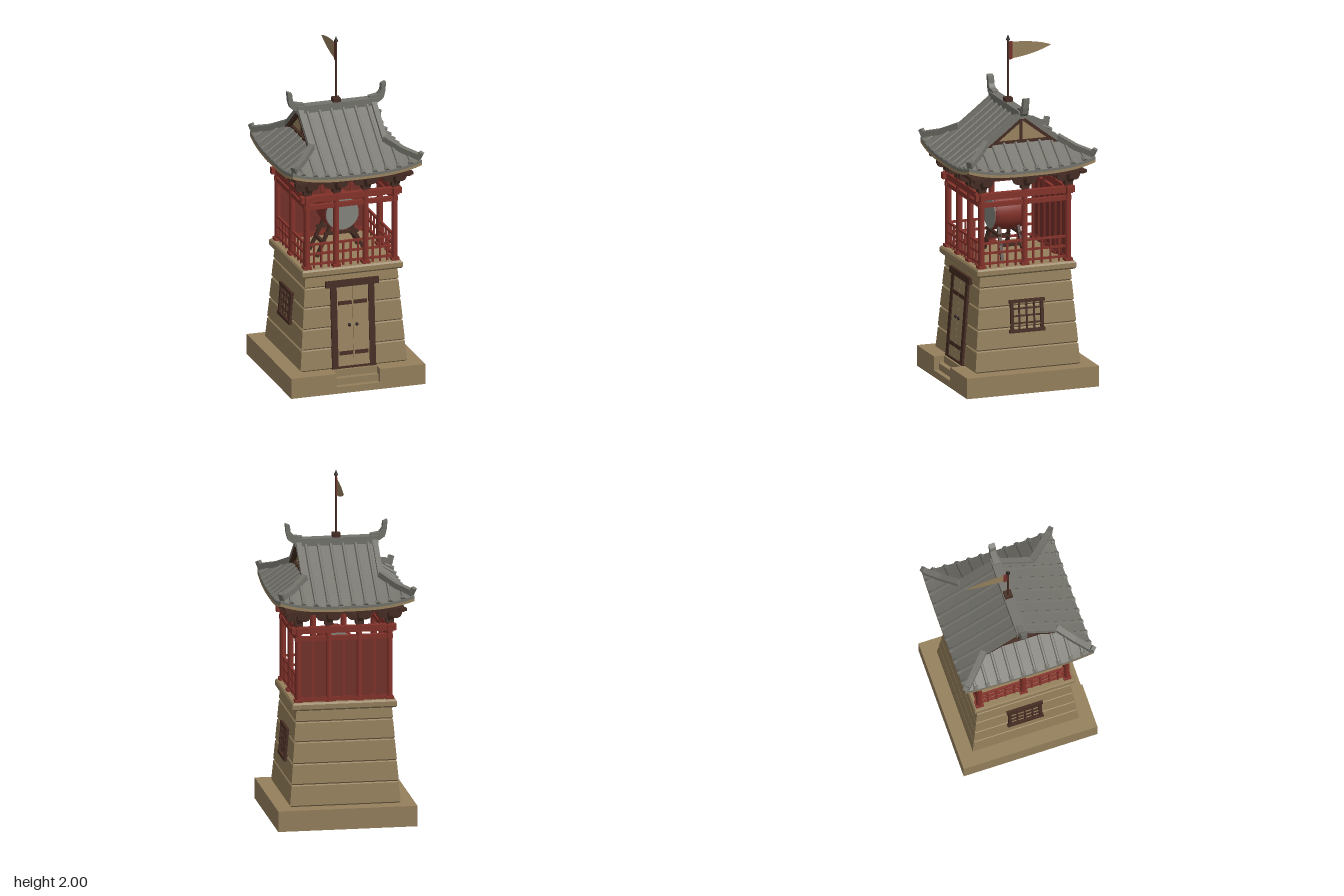
import * as THREE from 'three';

const mat = (name, color, side = THREE.FrontSide) => {
  const m = new THREE.MeshStandardMaterial({ color, side });
  m.name = name;
  return m;
};

export function createModel() {
  const stone = mat('stone', 0x95805c), plank = mat('pale timber', 0x9a8460);
  const tile = mat('roof tile', 0x74736c), red = mat('red lacquer', 0x84322a);
  const panelRed = mat('dark red panel', 0x74302a), dark = mat('dark timber', 0x452c22);
  const skin = mat('drum skin', 0x85857f), cloth = mat('flag cloth', 0x95805c, THREE.DoubleSide);
  const iron = mat('iron', 0x2c2320);

  const root = new THREE.Group();
  root.name = 'drumTower';
  const group = (name, parent = root) => {
    const g = new THREE.Group();
    g.name = name;
    parent.add(g);
    return g;
  };
  const add = (p, name, geo, m, x = 0, y = 0, z = 0) => {
    const mesh = new THREE.Mesh(geo, m);
    mesh.name = name;
    mesh.position.set(x, y, z);
    p.add(mesh);
    return mesh;
  };
  const box = (p, name, m, w, h, d, x, y, z) => add(p, name, new THREE.BoxGeometry(w, h, d), m, x, y, z);
  const cyl = (p, name, m, r0, r1, h, n, x, y, z) => add(p, name, new THREE.CylinderGeometry(r1, r0, h, n), m, x, y, z);
  // Box running from point a to point b
  const bar = (p, name, m, a, b, w, h) => {
    const A = new THREE.Vector3(...a), B = new THREE.Vector3(...b);
    const mesh = box(p, name, m, w, h, A.distanceTo(B), 0, 0, 0);
    mesh.quaternion.setFromRotationMatrix(new THREE.Matrix4().lookAt(B, A, new THREE.Vector3(0, 1, 0)));
    mesh.position.copy(A.add(B).multiplyScalar(0.5));
    return mesh;
  };
  const shape = pts => new THREE.Shape(pts.map(q => new THREE.Vector2(...q)));
  const extrude = (pts, depth) => new THREE.ExtrudeGeometry(shape(pts), { depth, bevelEnabled: false });
  const flat = geo => {
    const g = geo.toNonIndexed();
    g.computeVertexNormals();
    return g;
  };
  // Square-plan lathe from [half width, y] points
  const squareLathe = pts => flat(new THREE.LatheGeometry(
    pts.map(([r, y]) => new THREE.Vector2(r * Math.SQRT2, y)), 4, Math.PI / 4));
  // Grid surface from a function of u, v in 0..1
  const patch = (fn, nu, nv, flip = false) => {
    const pos = [], idx = [];
    for (let j = 0; j <= nv; j++) for (let i = 0; i <= nu; i++) pos.push(...fn(i / nu, j / nv));
    for (let j = 0; j < nv; j++) for (let i = 0; i < nu; i++) {
      const a = j * (nu + 1) + i, b = a + 1, c = a + nu + 1, d = c + 1;
      idx.push(...(flip ? [a, b, c, b, d, c] : [a, c, b, b, c, d]));
    }
    const g = new THREE.BufferGeometry();
    g.setAttribute('position', new THREE.Float32BufferAttribute(pos, 3));
    g.setIndex(idx);
    g.computeVertexNormals();
    return g;
  };

  // Plinth in three layers, with steps cut into the front
  const plinth = group('plinth');
  [0.4, 0.37, 0.34].forEach((z, i) => {
    const notch = i ? [[-0.13, -0.4], [-0.13, -z], [0.13, -z], [0.13, -0.4]] : [];
    const layer = extrude([[-0.4, -0.4], ...notch, [0.4, -0.4], [0.4, 0.4], [-0.4, 0.4]], 0.04);
    add(plinth, 'plinthLayer', layer.rotateX(-Math.PI / 2), stone, 0, i * 0.04, 0);
  });

  // Tapered stone body with grooved courses, and a cornice
  const half = y => 0.318 - (y - 0.12) * 0.078;
  const courses = [0.12, 0.245, 0.365, 0.49, 0.605, 0.675], profile = [];
  for (let i = 0; i < 5; i++) {
    const a = courses[i], b = courses[i + 1];
    profile.push([half(a) - 0.008, a], [half(a), a + 0.008], [half(b), b - 0.006], [half(b) - 0.008, b]);
  }
  add(root, 'stoneBody', squareLathe(profile), stone);
  add(root, 'cornice', squareLathe([[0.26, 0.672], [0.292, 0.674], [0.3, 0.684], [0.3, 0.71], [0.292, 0.72], [0, 0.72]]), stone);

  // Door, leaning with the wall
  const door = group('door');
  door.position.set(0, 0.12, 0.318);
  door.rotation.x = -0.078;
  box(door, 'threshold', dark, 0.26, 0.012, 0.03, 0, 0.008, 0);
  box(door, 'lintel', dark, 0.316, 0.038, 0.034, 0, 0.5, 0);
  for (const s of [-1, 1]) {
    box(door, 'jamb', dark, 0.036, 0.485, 0.026, s * 0.112, 0.243, 0);
    box(door, 'doorLeaf', plank, 0.093, 0.47, 0.014, s * 0.0475, 0.245, 0);
    for (const y of [0.09, 0.385]) box(door, 'hingeStrap', dark, 0.08, 0.022, 0.006, s * 0.046, y, 0.009);
    add(door, 'doorKnob', new THREE.SphereGeometry(0.01, 10, 8), iron, s * 0.022, 0.253, 0.01);
  }

  // Lattice windows on both sides
  for (const s of [-1, 1]) {
    const win = group(s > 0 ? 'leftWindow' : 'rightWindow');
    win.position.set(s * half(0.43), 0.43, 0);
    win.rotation.order = 'YXZ';
    win.rotation.set(-0.078, s * Math.PI / 2, 0);
    for (const t of [-1, 1]) {
      box(win, 'windowSide', dark, 0.018, 0.18, 0.022, t * 0.091, 0, 0.004);
      box(win, 'windowRail', dark, 0.215, 0.018, 0.026, 0, t * 0.086, 0.004);
    }
    for (const k of [-1, 0, 1]) {
      box(win, 'latticeUpright', dark, 0.009, 0.17, 0.012, k * 0.045, 0, 0.002);
      box(win, 'latticeRail', dark, 0.18, 0.009, 0.012, 0, k * 0.042, 0.002);
    }
  }

  // Pavilion: four sides of posts, beams, railings and brackets
  const E = 0.262;
  const armShape = [[-0.045, 0], [0.045, 0], [0.06, 0.006], [0.07, 0.024], [0.07, 0.034], [-0.07, 0.034], [-0.07, 0.024], [-0.06, 0.006]];
  const arm = extrude(armShape, 0.024).translate(0, 0, -0.012);
  ['front', 'left', 'back', 'right'].forEach((side, i) => {
    const g = group(side + 'Side');
    g.rotation.y = i * Math.PI / 2;
    const inner = i % 2 ? [0] : [-0.088, 0.088];
    for (const x of [...inner, -E]) {
      cyl(g, 'post', red, 0.018, 0.018, 0.46, 12, x, 0.95, E);
      box(g, 'postFoot', red, 0.046, 0.016, 0.046, x, 0.728, E);
      box(g, 'bracketBase', dark, 0.046, 0.026, 0.046, x, 1.18, E);
      for (const turn of [0, Math.PI / 2]) {
        const a = add(g, 'bracketArm', arm, dark, x, 1.19, E);
        a.rotation.y = turn;
      }
      for (const [dx, dz] of [[-0.055, 0], [0.055, 0], [0, 0.055], [0, -0.055], [0, 0]])
        box(g, 'bracketBlock', dark, 0.03, 0.022, 0.03, x + dx, 1.234, E + dz);
    }
    box(g, 'upperBeam', red, 0.6, 0.036, 0.034, 0, 1.138, E);
    box(g, 'lowerBeam', red, 0.56, 0.026, 0.024, 0, 1.088, E);
    box(g, 'eavePurlin', dark, 0.7, 0.016, 0.03, 0, 1.252, 0.32);
    const stops = [-E, ...inner, E];
    for (let k = 0; k + 1 < stops.length; k++) {
      const a = stops[k], b = stops[k + 1], c = (a + b) / 2, w = b - a;
      if (i === 2) {
        // Closed back wall
        box(g, 'wallPanel', panelRed, w, 0.36, 0.014, c, 0.9, E);
        box(g, 'panelBatten', red, 0.012, 0.36, 0.024, c, 0.9, E);
        box(g, 'panelSill', red, w, 0.024, 0.026, c, 0.735, E);
        continue;
      }
      for (const y of [0.745, 0.805, 0.862]) box(g, 'handrail', red, w, 0.012, 0.014, c, y, E);
      const n = i % 2 ? 5 : 4;
      for (let j = 1; j < n; j++) box(g, 'baluster', red, 0.01, 0.145, 0.01, a + w * j / n, 0.792, E);
    }
  });
  box(root, 'ceiling', dark, 0.68, 0.012, 0.68, 0, 1.258, 0);

  // Drum on a trestle
  const drum = group('drum');
  drum.position.set(0, 0.975, 0.022);
  drum.rotation.x = Math.PI / 2;
  const barrel = [[0.098, -0.09], [0.106, -0.045], [0.108, 0], [0.106, 0.045], [0.098, 0.09]];
  add(drum, 'drumBarrel', new THREE.LatheGeometry(barrel.map(q => new THREE.Vector2(...q)), 28), red);
  for (const s of [-1, 1]) {
    cyl(drum, 'drumSkin', skin, 0.097, 0.097, 0.008, 28, 0, s * 0.09, 0);
    cyl(drum, 'drumHoop', panelRed, 0.103, 0.103, 0.016, 28, 0, s * 0.076, 0);
  }
  const stand = group('drumStand');
  for (const z of [-0.045, 0.09]) {
    for (const s of [-1, 1]) bar(stand, 'standLeg', dark, [s * 0.145, 0.72, z], [s * 0.06, 0.9, z - Math.sign(z) * 0.01], 0.018, 0.018);
    box(stand, 'standCrossbar', dark, 0.2, 0.016, 0.018, 0, 0.855, z);
  }
  for (const s of [-1, 1]) box(stand, 'standRail', dark, 0.018, 0.018, 0.15, s * 0.105, 0.8, 0.022);

  // Hip-and-gable roof; d is the distance from the ridge towards the eave
  const R = 0.385, G = 0.235;
  const lift = (x, d) => 0.045 * Math.pow(Math.abs(x) / R, 3) * Math.max(0, (d - 0.2) / (R - 0.2));
  const h = (x, d) => 1.59 - 0.8 * d + 0.12 * d * d + lift(x, d);
  const roof = group('roof');
  for (let i = 0; i < 4; i++) {
    const g = group(i % 2 ? 'sideSlope' : 'mainSlope', roof), d0 = i % 2 ? 0.19 : 0;
    g.rotation.y = i * Math.PI / 2;
    const at = (u, d) => (u * 2 - 1) * (i % 2 ? d : Math.max(G, d));
    add(g, 'tileSurface', patch((u, v) => {
      const d = d0 + (R - d0) * v, x = at(u, d);
      return [x, h(x, d), d];
    }, 24, 20), tile);
    if (!(i % 2)) add(g, 'tileUnderside', patch((u, v) => [at(u, v * G), h(0, v * G) - 0.012, v * G], 2, 6, true), dark);
    // Eave edge bands and soffit
    const band = (top, low) => patch((u, v) => {
      const x = (u * 2 - 1) * R;
      return [x, lift(x, R) + top + (low - top) * v, R];
    }, 24, 1);
    add(g, 'tileEdge', band(1.3, 1.284), tile);
    add(g, 'eaveBoard', band(1.284, 1.268), plank);
    add(g, 'soffit', patch((u, v) => {
      const d = 0.24 + (R - 0.24) * v, x = (u * 2 - 1) * d;
      return [x, 1.268 + lift(x, d), d];
    }, 24, 6, true), dark);
    // Tile ribs with end caps
    for (let k = 0; k < 10; k++) {
      const x = (k - 4.5) * 0.0714, ax = Math.abs(x);
      const start = i % 2 ? Math.max(G - 0.02, ax) : ax > G ? ax : 0.01;
      const pts = [];
      for (let j = 0; j <= 6; j++) {
        const d = start + (R - 0.005 - start) * j / 6;
        pts.push(new THREE.Vector3(x, h(x, d) + 0.003, d));
      }
      add(g, 'tileRib', flat(new THREE.TubeGeometry(new THREE.CatmullRomCurve3(pts), 8, 0.0095, 6)), tile);
      const cap = add(g, 'ribCap', flat(new THREE.CylinderGeometry(0.016, 0.016, 0.022, 6)), tile, x, h(x, R) + 0.005, R - 0.012);
      cap.rotation.x = Math.PI / 2 + 0.5;
    }
    // Hip ridge with upturned tip
    const hip = d => [d, h(d, d) + 0.014, d];
    for (const [a, b] of [[0.215, 0.3], [0.298, 0.378]]) bar(g, 'hipRidge', tile, hip(a), hip(b), 0.034, 0.032);
    bar(g, 'hipTip', tile, [0.366, 1.345, 0.366], [0.383, 1.39, 0.383], 0.028, 0.024);
  }

  // Gables: wall, timbers and verge ridges
  for (const s of [-1, 1]) {
    const g = group(s > 0 ? 'leftGable' : 'rightGable', roof);
    g.rotation.y = s * Math.PI / 2;
    add(g, 'gableWall', extrude([[-0.21, 1.41], [0.21, 1.41], [0, 1.575]], 0.01), plank, 0, 0, 0.19);
    box(g, 'gableTie', dark, 0.34, 0.022, 0.02, 0, 1.425, 0.207);
    box(g, 'gablePost', dark, 0.016, 0.12, 0.012, 0, 1.49, 0.203);
    for (const t of [-1, 1]) {
      bar(g, 'bargeboard', dark, [t * 0.222, 1.4, 0.222], [0, 1.57, 0.222], 0.02, 0.024);
      for (const [a, b] of [[0.005, 0.115], [0.113, 0.225]])
        bar(g, 'vergeRidge', tile, [t * a, h(0, a) + 0.006, 0.219], [t * b, h(0, b) + 0.006, 0.219], 0.03, 0.026);
    }
  }

  // Main ridge and horned ends
  box(roof, 'mainRidge', tile, 0.48, 0.045, 0.054, 0, 1.589, 0);
  for (const s of [-1, 1]) {
    const horn = extrude([[0.195, 1.585], [0.25, 1.585], [0.278, 1.605], [0.288, 1.64], [0.294, 1.7], [0.268, 1.69], [0.263, 1.65], [0.245, 1.63], [0.195, 1.622]], 0.036);
    add(roof, 'ridgeHorn', horn, tile, 0, 0, -s * 0.018).rotation.y = s > 0 ? 0 : Math.PI;
  }

  // Flagpole and pennant
  const flag = group('flagpole');
  box(flag, 'poleBase', dark, 0.045, 0.026, 0.045, 0, 1.622, 0);
  cyl(flag, 'pole', dark, 0.007, 0.006, 0.36, 10, 0, 1.8, 0);
  cyl(flag, 'poleTip', iron, 0.013, 0.001, 0.03, 10, 0, 1.985, 0);
  box(flag, 'flagSleeve', panelRed, 0.008, 0.104, 0.026, 0, 1.908, -0.014);
  const pennant = new THREE.Shape();
  pennant.moveTo(0.024, 1.957);
  pennant.quadraticCurveTo(0.17, 1.955, 0.262, 1.92);
  pennant.quadraticCurveTo(0.16, 1.872, 0.024, 1.86);
  add(flag, 'pennant', new THREE.ShapeGeometry(pennant), cloth).rotation.y = Math.PI / 2;
  return root;
}
